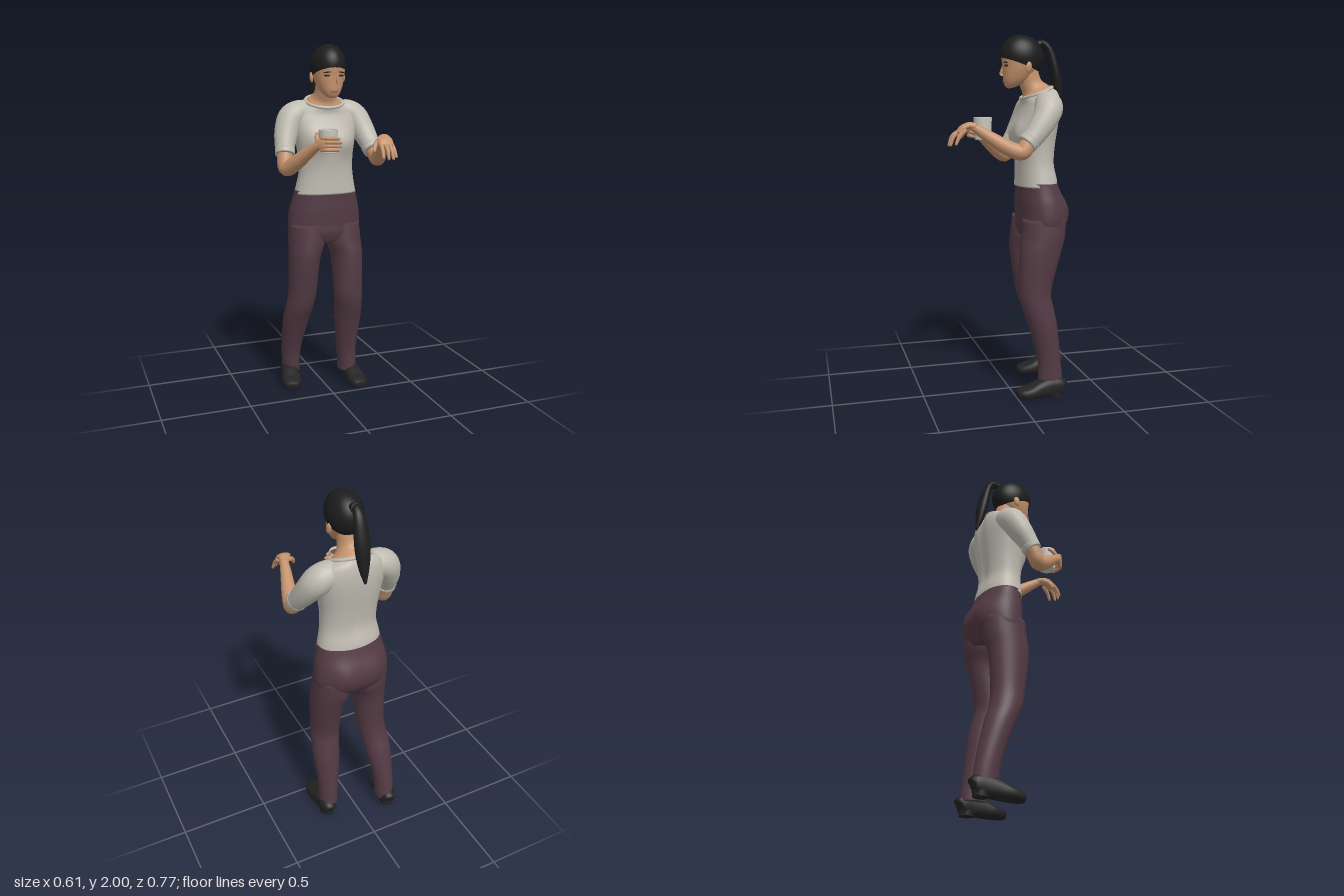
import * as THREE from 'three';

const mat = (name, color, side = THREE.FrontSide) => {
  const m = new THREE.MeshStandardMaterial({ color, side });
  m.name = name;
  return m;
};
const V = (x, y, z) => new THREE.Vector3(x, y, z);
const X = V(1, 0, 0), Y = V(0, 1, 0);

// Smooth skin through elliptical sections [x, y, z, a, b].
// level: keep the sections horizontal; ref: direction of radius a; round: domed far end;
// power: 2 is an ellipse, more is boxier; warp: rule that moves each vertex
function sweep(keys, { level = false, ref = X, round = false, power = 2, sides = 24, steps = 5, warp } = {}) {
  const path = new THREE.CatmullRomCurve3(keys.map(k => V(k[0], k[1], k[2])), false, 'catmullrom');
  const size = new THREE.CatmullRomCurve3(keys.map(k => V(k[3], k[4] ?? k[3], 0)), false, 'catmullrom');
  const n = (keys.length - 1) * steps, rings = [];
  for (let i = 0; i <= n; i++) {
    const t = i / n, s = size.getPoint(t);
    const T = level ? Y : path.getPoint(Math.min(1, t + 0.01)).sub(path.getPoint(Math.max(0, t - 0.01))).normalize();
    rings.push({ c: path.getPoint(t), T, a: s.x, b: s.y });
  }
  if (round) {
    const e = rings[n];
    for (const q of [0.5, 1, 1.4]) {
      rings.push({ c: e.c.clone().addScaledVector(e.T, Math.min(e.a, e.b) * Math.sin(q)), T: e.T, a: e.a * Math.cos(q), b: e.b * Math.cos(q) });
    }
  }
  const pos = [], idx = [], bend = v => Math.sign(v) * Math.abs(v) ** (2 / power);
  const put = p => { if (warp) warp(p); pos.push(p.x, p.y, p.z); };
  for (const { c, T, a, b } of rings) {
    const S = ref.clone().addScaledVector(T, -ref.dot(T)).normalize(), N = T.clone().cross(S);
    for (let j = 0; j < sides; j++) {
      const u = j / sides * Math.PI * 2;
      put(c.clone().addScaledVector(S, a * bend(Math.cos(u))).addScaledVector(N, b * bend(Math.sin(u))));
    }
  }
  const last = (rings.length - 1) * sides, mid = rings.length * sides;
  put(rings[0].c.clone());
  put(rings[rings.length - 1].c.clone());
  for (let j = 0; j < sides; j++) {
    const k = (j + 1) % sides;
    for (let o = 0; o < last; o += sides) idx.push(o + j, o + k, o + sides + j, o + k, o + sides + k, o + sides + j);
    idx.push(mid, k, j, mid + 1, last + j, last + k);
  }
  const g = new THREE.BufferGeometry();
  g.setAttribute('position', new THREE.Float32BufferAttribute(pos, 3));
  g.setIndex(idx);
  g.computeVertexNormals();
  return g;
}

export function createModel() {
  const root = new THREE.Group();
  root.name = 'womanWithMug';
  const skin = mat('skin', 0xc4926c), hair = mat('hair', 0x1c1c1d, THREE.DoubleSide);
  const shirt = mat('shirt', 0xbfbbb1), trousers = mat('trousers', 0x533a44);
  const shoe = mat('shoe', 0x232324), mugMat = mat('mug', 0xc9c7c0, THREE.DoubleSide);
  const coffee = mat('coffee', 0x6e5039), lip = mat('lips', 0xa06a54), eyeMat = mat('eyes', 0x2a1c18);

  const add = (name, geo, m, parent = root) => {
    const o = new THREE.Mesh(geo, m);
    o.name = name;
    parent.add(o);
    return o;
  };
  const ball = (name, m, p, s, rot = [0, 0, 0]) => {
    const o = add(name, new THREE.SphereGeometry(1, 20, 14), m);
    o.position.set(...p); o.scale.set(...s); o.rotation.set(...rot);
    return o;
  };
  const bump = (p, x, y, r) => Math.exp(-((p.x - x) ** 2 + (p.y - y) ** 2) / (r * r));

  // Trousers: hips with seat, two legs
  add('hips', sweep([
    [0, 0.9, -0.165, 0.185, 0.1], [0, 0.95, -0.17, 0.208, 0.122], [0.003, 1.0, -0.174, 0.213, 0.126],
    [0.003, 1.08, -0.17, 0.205, 0.125], [0.003, 1.15, -0.16, 0.188, 0.114], [0.003, 1.195, -0.153, 0.178, 0.108],
  ], { level: true, power: 2.2, sides: 48, warp: p => {
    if (p.z < -0.17) p.z -= 0.028 * (bump(p, 0.09, 1.03, 0.085) + bump(p, -0.09, 1.03, 0.085));
  } }), trousers);
  add('leftLeg', sweep([
    [0.157, 0.07, -0.195, 0.055, 0.07], [0.155, 0.11, -0.195, 0.054, 0.069], [0.15, 0.22, -0.188, 0.059, 0.066],
    [0.144, 0.4, -0.155, 0.077, 0.081], [0.138, 0.5, -0.128, 0.08, 0.088], [0.13, 0.6, -0.112, 0.083, 0.092],
    [0.13, 0.8, -0.14, 0.09, 0.116], [0.112, 0.9, -0.162, 0.106, 0.124], [0.11, 1.0, -0.172, 0.1, 0.122],
  ], { level: true, sides: 32 }), trousers);
  add('rightLeg', sweep([
    [-0.17, 0.07, -0.298, 0.052, 0.07], [-0.17, 0.11, -0.298, 0.052, 0.068], [-0.17, 0.22, -0.28, 0.058, 0.067],
    [-0.16, 0.4, -0.222, 0.076, 0.081], [-0.148, 0.5, -0.18, 0.08, 0.087], [-0.135, 0.6, -0.16, 0.082, 0.092],
    [-0.125, 0.8, -0.15, 0.09, 0.113], [-0.106, 0.9, -0.162, 0.106, 0.124], [-0.108, 1.0, -0.172, 0.1, 0.122],
  ], { level: true, sides: 32 }), trousers);

  // Shoes: flat-bottomed upper and heel
  for (const [name, x, z, turn, lift] of [['leftShoe', 0.175, -0.135, 0, 0], ['rightShoe', -0.192, -0.245, -0.15, 0.07]]) {
    const g = new THREE.Group();
    g.name = name;
    g.position.set(x, lift * 0.14, z);
    g.rotation.set(lift, turn, 0);
    add('upper', sweep([
      [0, 0.05, -0.132, 0.026, 0.026], [0, 0.055, -0.118, 0.042, 0.048], [0, 0.055, -0.06, 0.046, 0.056],
      [0, 0.048, 0, 0.052, 0.05], [0, 0.036, 0.06, 0.058, 0.037], [0, 0.03, 0.11, 0.049, 0.029], [0, 0.026, 0.137, 0.028, 0.02],
    ], { power: 2.4, warp: p => { p.y = Math.max(p.y, p.z < -0.03 ? 0.012 : 0.006); } }), shoe, g);
    add('heel', new THREE.CylinderGeometry(0.042, 0.04, 0.03, 20), shoe, g).position.set(0, 0.015, -0.085);
    root.add(g);
  }

  // Shirt body; neckline slopes down to the front
  const slope = p => { p.y -= (p.z + 0.155) * 0.375 * THREE.MathUtils.smoothstep(p.y, 1.5, 1.68); };
  add('shirtBody', sweep([
    [0.003, 1.175, -0.152, 0.181, 0.112], [0.003, 1.22, -0.15, 0.171, 0.109], [0.003, 1.3, -0.142, 0.157, 0.101],
    [0, 1.4, -0.142, 0.16, 0.108], [0, 1.5, -0.148, 0.175, 0.116], [0, 1.59, -0.164, 0.188, 0.109],
    [0, 1.65, -0.168, 0.165, 0.096], [0, 1.685, -0.155, 0.108, 0.085],
  ], { level: true, power: 2.2, sides: 48, warp: p => {
    if (p.z > -0.13) p.z += 0.026 * (bump(p, 0.08, 1.46, 0.065) + bump(p, -0.08, 1.46, 0.065));
    else p.z += 0.012 * Math.exp(-((p.x / 0.03) ** 2)) * THREE.MathUtils.smoothstep(p.y, 1.2, 1.35);
    slope(p);
  } }), shirt);
  const ring = [];
  for (let i = 0; i < 24; i++) {
    const u = i / 24 * Math.PI * 2, s = Math.sin(u) * 0.084;
    ring.push(V(Math.cos(u) * 0.107, 1.688 - 0.375 * s, -0.155 + s));
  }
  add('collar', new THREE.TubeGeometry(new THREE.CatmullRomCurve3(ring, true), 48, 0.01, 8, true), shirt);

  // Sleeves with cuffs, and bare arms
  add('leftSleeve', sweep([
    [0.08, 1.628, -0.172, 0.06], [0.14, 1.626, -0.175, 0.072], [0.188, 1.595, -0.165, 0.076], [0.22, 1.53, -0.125, 0.067],
    [0.24, 1.46, -0.07, 0.057], [0.248, 1.42, -0.03, 0.053],
  ], { ref: V(0, 0, 1) }), shirt);
  add('leftCuff', sweep([[0.243, 1.44, -0.05, 0.057], [0.248, 1.416, -0.026, 0.055]], { ref: V(0, 0, 1) }), shirt);
  add('leftArm', sweep([
    [0.24, 1.46, -0.07, 0.043], [0.252, 1.405, -0.025, 0.044], [0.257, 1.375, 0.008, 0.042], [0.235, 1.405, 0.085, 0.04],
    [0.21, 1.458, 0.17, 0.032], [0.19, 1.508, 0.245, 0.023],
  ], { ref: V(1, 0.3, 0), round: true }), skin);
  add('rightSleeve', sweep([
    [-0.08, 1.628, -0.172, 0.06], [-0.14, 1.626, -0.175, 0.072], [-0.193, 1.595, -0.165, 0.076], [-0.23, 1.52, -0.135, 0.067],
    [-0.25, 1.45, -0.1, 0.056], [-0.256, 1.415, -0.082, 0.052],
  ], { ref: V(0, 0, 1) }), shirt);
  add('rightCuff', sweep([[-0.252, 1.432, -0.092, 0.056], [-0.257, 1.405, -0.078, 0.054]], { ref: V(0, 0, 1) }), shirt);
  add('rightArm', sweep([
    [-0.25, 1.45, -0.1, 0.043], [-0.26, 1.38, -0.068, 0.044], [-0.258, 1.335, -0.04, 0.043], [-0.222, 1.375, 0.025, 0.041],
    [-0.175, 1.438, 0.105, 0.031], [-0.145, 1.476, 0.158, 0.023],
  ], { ref: V(1, 0, -0.5), round: true }), skin);

  // Left hand: open, fingers drooping
  const finger = (name, keys, ref = X) => add(name, sweep(keys, { ref, round: true, sides: 10, steps: 4 }), skin);
  add('leftPalm', sweep([
    [0.194, 1.503, 0.23, 0.024, 0.021], [0.182, 1.514, 0.262, 0.031, 0.019], [0.173, 1.504, 0.295, 0.041, 0.017],
    [0.171, 1.482, 0.322, 0.039, 0.012],
  ], { round: true }), skin);
  const tipZ = [0.362, 0.37, 0.366, 0.342];
  for (let i = 0; i < 4; i++) {
    const x = 0.141 + i * 0.021, tx = 0.136 + i * 0.027, z = tipZ[i];
    finger('leftFinger', [[x, 1.495, 0.3 - (i === 3) * 0.012, 0.012], [(x + tx) / 2, 1.462, z - 0.02, 0.011], [tx, 1.412 + Math.abs(i - 1.5) * 0.006, z, 0.008]]);
  }
  finger('leftThumb', [[0.16, 1.503, 0.26, 0.016], [0.128, 1.482, 0.278, 0.013], [0.112, 1.45, 0.298, 0.009]]);

  // Right hand: wrapped round the mug
  add('rightPalm', sweep([
    [-0.15, 1.472, 0.148, 0.024, 0.022], [-0.142, 1.48, 0.168, 0.032, 0.018], [-0.125, 1.482, 0.192, 0.038, 0.014],
  ], { ref: Y, round: true }), skin);
  for (let i = 0; i < 4; i++) {
    const y = 1.512 - i * 0.02, tip = [-0.045, -0.034, -0.036, -0.048][i];
    finger('rightFinger', [[-0.138, y, 0.18, 0.011], [-0.11, y + 0.002, 0.206, 0.011], [-0.075, y, 0.206, 0.01], [tip, y - 0.004, 0.194, 0.008]], Y);
  }
  finger('rightThumb', [[-0.148, 1.485, 0.155, 0.015], [-0.147, 1.515, 0.138, 0.012], [-0.138, 1.532, 0.112, 0.009]]);

  // Mug and its drink
  const profile = [[0, 0], [0.044, 0], [0.047, 0.004], [0.051, 0.121], [0.05, 0.125], [0.047, 0.123], [0.046, 0.1]];
  add('mug', new THREE.LatheGeometry(profile.map(p => new THREE.Vector2(...p)), 40), mugMat).position.set(-0.081, 1.43, 0.131);
  add('drink', new THREE.CylinderGeometry(0.0465, 0.0465, 0.004, 32), coffee).position.set(-0.081, 1.539, 0.131);

  // Neck and head
  add('neck', sweep([
    [0, 1.65, -0.155, 0.1, 0.078], [0, 1.69, -0.155, 0.1, 0.077], [-0.003, 1.715, -0.145, 0.074, 0.067],
    [-0.006, 1.755, -0.122, 0.058, 0.057], [-0.008, 1.84, -0.1, 0.057, 0.057],
  ], { level: true, warp: slope }), skin);
  const hx = -0.008;
  add('head', sweep([
    [hx, 1.712, -0.004, 0.014, 0.01], [hx, 1.722, -0.012, 0.034, 0.031], [hx, 1.75, -0.033, 0.056, 0.062],
    [hx, 1.79, -0.052, 0.073, 0.084], [hx, 1.83, -0.064, 0.083, 0.098], [hx, 1.88, -0.07, 0.087, 0.108],
    [hx, 1.93, -0.07, 0.077, 0.096], [hx, 1.97, -0.07, 0.045, 0.055],
  ], { level: true, power: 2.2, sides: 40 }), skin);
  add('nose', sweep([
    [hx, 1.838, 0.028, 0.007, 0.008], [hx, 1.81, 0.038, 0.009, 0.01], [hx, 1.79, 0.041, 0.014, 0.013], [hx, 1.779, 0.036, 0.011, 0.008],
  ], { level: true, sides: 14 }), skin);
  ball('upperLip', lip, [hx, 1.751, 0.026], [0.023, 0.005, 0.008]);
  ball('lowerLip', lip, [hx, 1.743, 0.024], [0.019, 0.005, 0.009]);
  for (const s of [1, -1]) {
    ball('eye', eyeMat, [hx + s * 0.04, 1.832, 0.025], [0.016, 0.0055, 0.006], [0, s * 0.35, 0]);
    ball('eyebrow', hair, [hx + s * 0.041, 1.849, 0.028], [0.021, 0.003, 0.005], [0, s * 0.35, -s * 0.08]);
    ball('ear', skin, [hx + s * 0.091, 1.822, -0.086], [0.01, 0.03, 0.018], [-0.2, s * 0.3, 0]);
  }

  // Hair cap swept back into a tied ponytail
  const cap = add('hairCap', new THREE.SphereGeometry(1, 40, 24, 0, Math.PI * 2, 0, Math.PI * 0.635), hair);
  cap.scale.set(0.096, 0.116, 0.122);
  cap.position.set(hx, 1.883, -0.072);
  cap.rotation.x = -0.34;
  const tie = add('hairTie', new THREE.TorusGeometry(0.021, 0.007, 10, 24), hair);
  tie.position.set(hx, 1.953, -0.19);
  tie.rotation.x = 0.35;
  add('ponytail', sweep([
    [hx, 1.95, -0.16, 0.022, 0.02], [hx, 1.955, -0.198, 0.022, 0.019], [hx, 1.915, -0.232, 0.031, 0.022],
    [hx, 1.83, -0.256, 0.041, 0.028], [hx, 1.75, -0.271, 0.039, 0.03], [hx, 1.67, -0.286, 0.026, 0.02], [hx, 1.605, -0.302, 0.008, 0.006],
  ], { round: true }), hair);

  return root;
}
